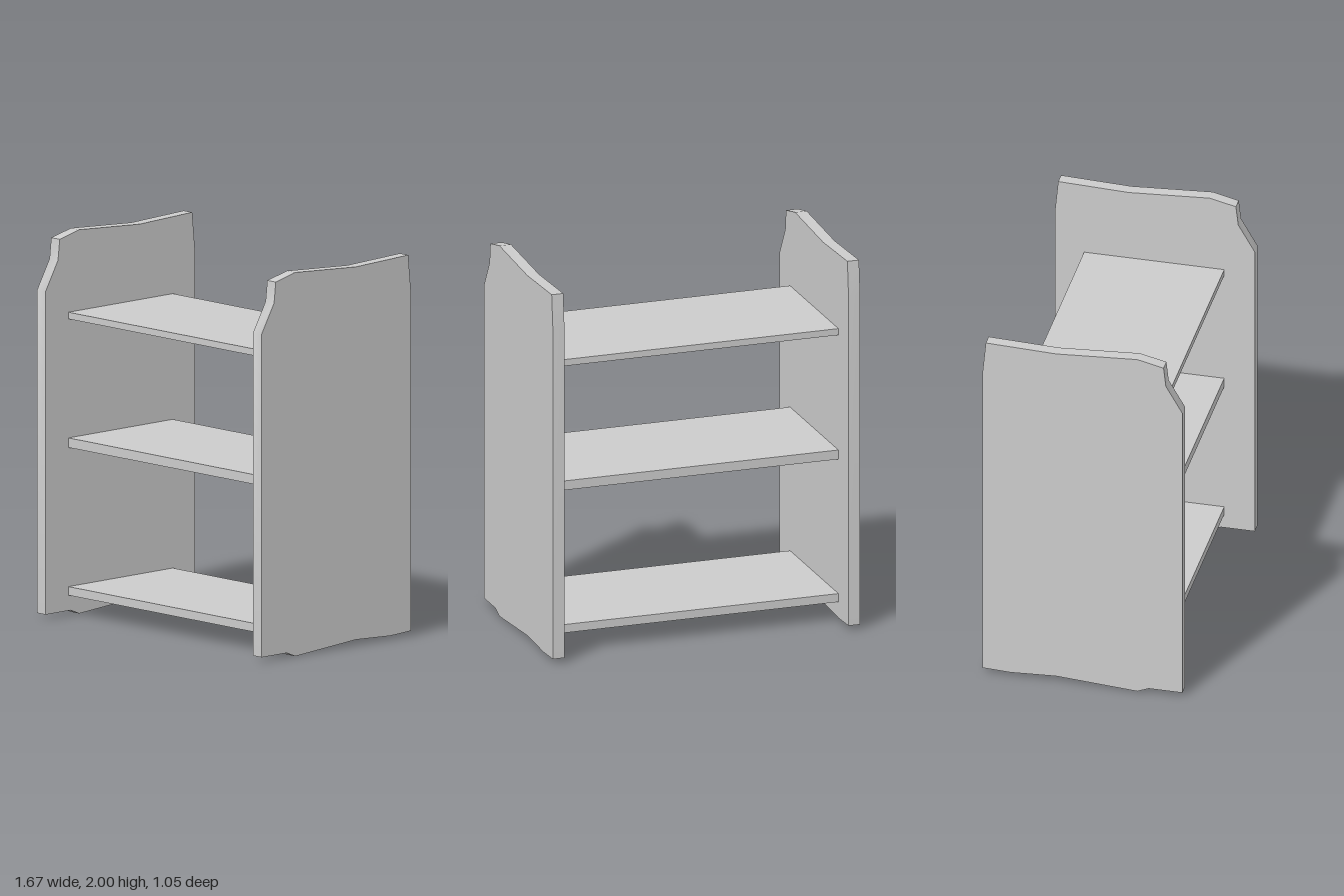
import * as THREE from 'three';
import { toCreasedNormals } from 'three/addons/utils/BufferGeometryUtils.js';

export function createModel() {
  const group = new THREE.Group();
  group.name = 'shelfUnit';
  const material = new THREE.MeshStandardMaterial({ color: 0xcccccc });

  const innerX = 0.772, thickness = 0.063;

  // Side panel outline as (z, y): cut-away front corner, gently wavy top and foot
  const outline = [
    [0.527, 0.025], [0.527, 1.71], [0.44, 1.86], [0.428, 1.968], [0.29, 2],
    [-0.137, 1.973], [-0.507, 1.986], [-0.525, 1.8], [-0.525, 0.025],
    [-0.38, 0.018], [-0.137, 0.03], [0.29, 0], [0.35, 0.025],
  ].map(([z, y]) => new THREE.Vector2(z, y));

  const panel = toCreasedNormals(
    new THREE.ExtrudeGeometry(new THREE.Shape(outline), { depth: thickness, bevelEnabled: false })
      .rotateY(-Math.PI / 2),
    0.6
  );

  // The extrusion runs towards -x from its own origin
  for (const [name, x] of [['leftSidePanel', innerX + thickness], ['rightSidePanel', -innerX]]) {
    const side = new THREE.Mesh(panel, material);
    side.name = name;
    side.position.x = x;
    group.add(side);
  }

  // Shelves between the panels: bottom and top heights
  const shelves = { lowerShelf: [0.105, 0.15], middleShelf: [0.875, 0.925], upperShelf: [1.545, 1.58] };
  for (const [name, [bottom, top]] of Object.entries(shelves)) {
    const shelf = new THREE.Mesh(new THREE.BoxGeometry(innerX * 2, top - bottom, 0.737), material);
    shelf.name = name;
    shelf.position.set(0, (bottom + top) / 2, -0.002);
    group.add(shelf);
  }

  return group;
}
